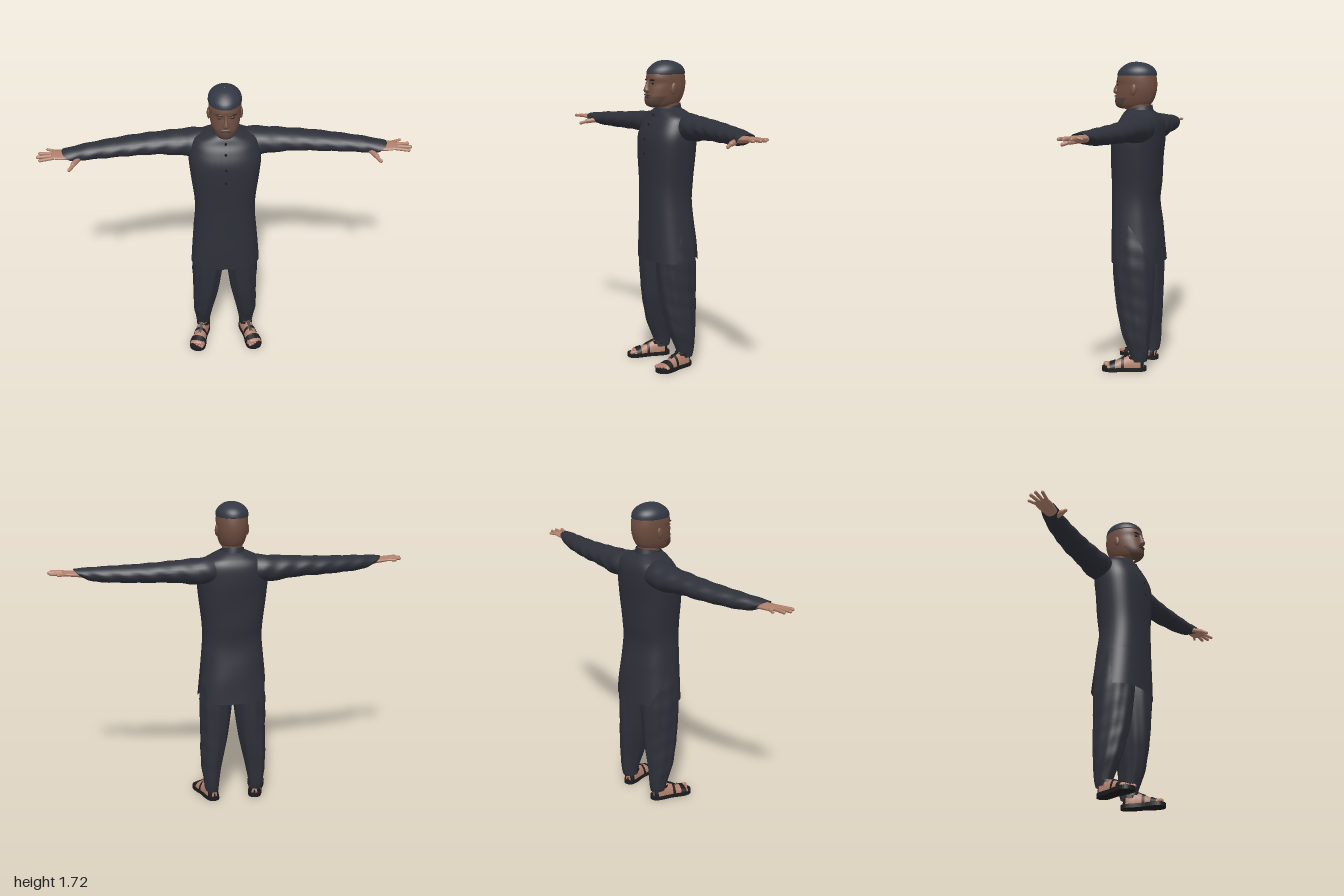
import * as THREE from 'three';

const paint = (name, color, side = THREE.FrontSide) => {
  const m = new THREE.MeshStandardMaterial({ color, side });
  m.name = name;
  return m;
};

// Catmull-Rom refinement of a table of section rows
function refine(rows, k = 5) {
  const out = [], at = i => rows[Math.min(Math.max(i, 0), rows.length - 1)];
  for (let i = 0; i < rows.length - 1; i++) {
    for (let s = 0; s < k; s++) {
      const t = s / k;
      out.push(at(i).map((b, c) => {
        const a = at(i - 1)[c], d = at(i + 1)[c], e = at(i + 2)[c];
        return b + 0.5 * t * (d - a + t * (2 * a - 5 * b + 4 * d - e + t * (3 * (b - d) + e - a)));
      }));
    }
  }
  out.push(rows[rows.length - 1]);
  return out;
}

// Skin over equal-length rings of points
function skin(rings, closed = true) {
  const n = rings[0].length, idx = [];
  for (let j = 0; j < rings.length - 1; j++) {
    for (let i = 0; i < (closed ? n : n - 1); i++) {
      const k = (i + 1) % n, a = j * n + i, b = j * n + k;
      idx.push(a, b, b + n, a, b + n, a + n);
    }
  }
  const g = new THREE.BufferGeometry();
  g.setAttribute('position', new THREE.Float32BufferAttribute(rings.flat(2), 3));
  g.setIndex(idx);
  g.computeVertexNormals();
  return g;
}

const power = (v, p) => Math.sign(v) * Math.abs(v) ** p;

// Upright form from rows [y, halfWidth, zFront, zBack, centreX]; span(y) limits it to an arc
function column(rows, { n = 40, p = 1, grow = 1, tilt = 0, span = null, fold = () => 0 } = {}) {
  return skin(rows.map(([y, w, zf, zb, cx = 0]) => {
    const [t0, t1] = span ? span(y) : [0, Math.PI * 2];
    return Array.from({ length: n }, (_, i) => {
      const t = t0 + (t1 - t0) * i / (span ? n - 1 : n);
      const f = grow + fold(t, y), z = (zf + zb) / 2 + f * (zf - zb) / 2 * power(Math.cos(t), p);
      return [cx + f * w * power(Math.sin(t), p), y - tilt * z, z];
    });
  }), !span);
}

// Sideways form from rows [x, y, z, halfHeight, halfDepth, slant]
function limb(rows, n = 28, wrinkle = 0) {
  return skin(rows.map(([x, y, z, h, d, slant = 0]) => Array.from({ length: n }, (_, i) => {
    const t = Math.PI * 2 * i / n, f = 1 + wrinkle * Math.sin(x * 55 + 2 * Math.sin(t * 2));
    return [x - slant * (1 - Math.cos(t)) / 2, y + f * h * Math.cos(t), z + f * d * Math.sin(t)];
  })));
}

// Foot-shaped form from rows [z, halfWidth, height]
function footForm(rows, grow = 1) {
  return skin(rows.map(([z, w, h]) => Array.from({ length: 24 }, (_, i) => {
    const t = Math.PI * 2 * i / 24;
    return [-Math.sin(t) * w * grow, 0.022 + Math.max(0, Math.cos(t)) * h * grow, z];
  })));
}

export function createModel() {
  const model = new THREE.Group();
  const cloth = paint('charcoalCloth', 0x2e3039, THREE.DoubleSide);
  const capCloth = paint('capCloth', 0x323743);
  const faceSkin = paint('faceSkin', 0x6e4d40);
  const beardHair = paint('beardHair', 0x58423a);
  const dark = paint('darkFeatures', 0x2a1f1c);
  const handSkin = paint('handSkin', 0xb07f6b);
  const leather = paint('sandalLeather', 0x1c1b1f, THREE.DoubleSide);
  const buttonMat = paint('buttons', 0x1d1e24);

  const add = (parent, name, geometry, material, pos = [0, 0, 0], scale = [1, 1, 1]) => {
    const m = new THREE.Mesh(geometry, material);
    m.name = name;
    m.position.set(...pos);
    m.scale.set(...scale);
    parent.add(m);
    return m;
  };
  // Rounded rod between two points
  const rod = (parent, name, a, b, r, material) => {
    const A = new THREE.Vector3(...a), B = new THREE.Vector3(...b), d = B.clone().sub(A);
    const m = add(parent, name, new THREE.CapsuleGeometry(r, d.length(), 5, 10), material);
    m.position.copy(A).add(B).multiplyScalar(0.5);
    m.quaternion.setFromUnitVectors(new THREE.Vector3(0, 1, 0), d.normalize());
  };
  const ball = new THREE.SphereGeometry(1, 20, 14);

  // Long tunic, with side slits below the hip
  const tunic = refine([
    [0.61, 0.2, 0.135, -0.155], [0.72, 0.188, 0.136, -0.147], [0.83, 0.177, 0.135, -0.135],
    [0.95, 0.167, 0.135, -0.122], [1.05, 0.17, 0.135, -0.13], [1.2, 0.188, 0.138, -0.138],
    [1.3, 0.196, 0.133, -0.145], [1.37, 0.185, 0.108, -0.145], [1.41, 0.165, 0.085, -0.132],
    [1.437, 0.115, 0.073, -0.108], [1.458, 0.066, 0.06, -0.08]]);
  const crease = (t, y) => 0.008 * Math.sin(y * 26 + 3 * Math.sin(t)) * Math.max(0, -Math.cos(t));
  const upper = tunic.filter(r => r[0] > 0.829), skirt = tunic.filter(r => r[0] < 0.831);
  const open = y => Math.max(0, (0.83 - y) / 0.22);
  add(model, 'tunicBody', column(upper, { p: 0.82, n: 48, fold: crease }), cloth);
  add(model, 'tunicFrontPanel', column(skirt, {
    p: 0.82, fold: crease, span: y => [-1.57 + 0.27 * open(y), 1.57 - 0.27 * open(y)] }), cloth);
  add(model, 'tunicBackPanel', column(skirt, {
    p: 0.82, fold: crease, span: y => [1.57 + 0.84 * open(y), Math.PI * 2 - 1.57 - 0.84 * open(y)] }), cloth);
  add(model, 'placket', column(tunic.filter(r => r[0] > 1.19 && r[0] < 1.45), {
    p: 0.82, n: 6, grow: 1.012, span: () => [-0.05, 0.05] }), cloth);
  add(model, 'collar', column([[1.43, 0.07, 0.064, -0.09], [1.45, 0.065, 0.063, -0.087], [1.468, 0.062, 0.062, -0.083]],
    { tilt: 0.2 }), cloth);
  for (const [y, z] of [[1.21, 0.139], [1.29, 0.137], [1.37, 0.11], [1.42, 0.081]]) {
    const b = add(model, 'button', new THREE.CylinderGeometry(0.007, 0.007, 0.008, 12), buttonMat, [0, y, z]);
    b.rotation.x = Math.PI / 2;
  }

  // Neck and head
  add(model, 'neck', column([[1.41, 0.056, 0.045, -0.075], [1.5, 0.056, 0.06, -0.075]]), faceSkin);
  const head = refine([
    [1.46, 0.012, 0.07, 0.03], [1.465, 0.04, 0.1, -0.04], [1.478, 0.056, 0.12, -0.065],
    [1.5, 0.068, 0.126, -0.085], [1.53, 0.077, 0.122, -0.099], [1.565, 0.083, 0.117, -0.108],
    [1.595, 0.085, 0.112, -0.11], [1.625, 0.086, 0.116, -0.108], [1.66, 0.083, 0.106, -0.102]]);
  add(model, 'head', column(head, { p: 0.92 }), faceSkin);
  add(model, 'beard', column(head.filter(r => r[0] < 1.524), {
    p: 0.92, grow: 1.02, span: y => [-1.0 - (y - 1.46) * 6, 1.0 + (y - 1.46) * 6] }), beardHair);
  add(model, 'nose', column(refine([
    [1.541, 0.004, 0.126, 0.1], [1.546, 0.015, 0.135, 0.1], [1.557, 0.018, 0.141, 0.1],
    [1.572, 0.012, 0.137, 0.1], [1.595, 0.009, 0.126, 0.1], [1.615, 0.01, 0.119, 0.1]]), { n: 20 }), faceSkin);
  add(model, 'moustache', ball, beardHair, [0, 1.532, 0.12], [0.033, 0.007, 0.01]);
  add(model, 'mouth', ball, dark, [0, 1.52, 0.124], [0.024, 0.003, 0.004]);
  for (const s of [-1, 1]) {
    add(model, 'eye', ball, dark, [s * 0.033, 1.594, 0.104], [0.013, 0.006, 0.005]);
    add(model, 'brow', ball, dark, [s * 0.034, 1.613, 0.107], [0.021, 0.005, 0.006]).rotation.y = s * 0.25;
    add(model, 'ear', ball, faceSkin, [s * 0.085, 1.567, 0], [0.01, 0.032, 0.018]).rotation.x = -0.15;
  }

  // Close-fitting cap
  add(model, 'cap', column(refine([
    [1.644, 0.086, 0.112, -0.106], [1.648, 0.089, 0.115, -0.109], [1.67, 0.086, 0.107, -0.104],
    [1.692, 0.072, 0.086, -0.086], [1.709, 0.049, 0.06, -0.055], [1.717, 0.026, 0.036, -0.024],
    [1.72, 0.001, 0.008, 0.006]])), capCloth);

  // Sections shared by both feet and their straps
  const foot = refine([
    [-0.108, 0.006, 0.02], [-0.1, 0.026, 0.05], [-0.07, 0.034, 0.07], [-0.03, 0.034, 0.068],
    [0.02, 0.037, 0.048], [0.06, 0.043, 0.032], [0.09, 0.044, 0.022], [0.1, 0.038, 0.014]], 6);
  const sole = new THREE.Shape();
  sole.moveTo(0, -0.122);
  sole.bezierCurveTo(0.045, -0.122, 0.04, -0.06, 0.037, -0.01);
  sole.bezierCurveTo(0.042, 0.04, 0.062, 0.09, 0.03, 0.12);
  sole.bezierCurveTo(0.01, 0.135, -0.03, 0.135, -0.045, 0.105);
  sole.bezierCurveTo(-0.055, 0.06, -0.035, 0.03, -0.037, -0.02);
  sole.bezierCurveTo(-0.04, -0.07, -0.045, -0.122, 0, -0.122);

  for (const s of [1, -1]) {
    const side = new THREE.Group();
    side.name = s > 0 ? 'leftLimbs' : 'rightLimbs';
    side.scale.x = s;
    model.add(side);

    // Sleeve, cut back underneath at the cuff
    add(side, 'sleeve', limb(refine([
      [0.06, 1.365, -0.045, 0.06, 0.06, 0], [0.12, 1.362, -0.052, 0.073, 0.08, 0], [0.2, 1.357, -0.055, 0.072, 0.084, 0],
      [0.35, 1.36, -0.049, 0.058, 0.075, 0], [0.5, 1.356, -0.037, 0.051, 0.071, 0], [0.7, 1.352, -0.003, 0.043, 0.058, 0],
      [0.8, 1.352, 0.02, 0.035, 0.052, 0.025], [0.865, 1.354, 0.036, 0.026, 0.047, 0.06]], 8), 28, 0.03), cloth);

    // Hand
    const hand = new THREE.Group();
    hand.name = 'hand';
    side.add(hand);
    add(hand, 'palm', limb(refine([
      [0.74, 1.348, 0.02, 0.02, 0.026], [0.8, 1.35, 0.032, 0.018, 0.034], [0.86, 1.354, 0.037, 0.015, 0.044],
      [0.91, 1.358, 0.038, 0.012, 0.043], [0.924, 1.358, 0.038, 0.003, 0.036]])), handSkin);
    [[[0.9, 0.07], [0.976, 0.092]], [[0.905, 0.049], [0.991, 0.06]], [[0.905, 0.027], [0.982, 0.025]],
      [[0.895, 0.006], [0.945, -0.013]]].forEach(([a, b], i) =>
      rod(hand, 'finger', [a[0], 1.358, a[1]], [b[0], 1.358, b[1]], i === 3 ? 0.0075 : 0.009, handSkin));
    rod(hand, 'thumbBase', [0.775, 1.34, 0.05], [0.805, 1.332, 0.1], 0.014, handSkin);
    rod(hand, 'thumb', [0.8, 1.332, 0.1], [0.824, 1.32, 0.133], 0.0095, handSkin);

    // Loose trouser leg with draped folds
    add(side, 'trouserLeg', column(refine([
      [0.055, 0.037, 0.002, -0.09, 0.128], [0.1, 0.042, 0.007, -0.1, 0.13], [0.2, 0.057, 0.048, -0.106, 0.128],
      [0.3, 0.069, 0.073, -0.115, 0.118], [0.4, 0.078, 0.092, -0.12, 0.108], [0.6, 0.091, 0.11, -0.126, 0.097],
      [0.75, 0.084, 0.108, -0.12, 0.086], [0.86, 0.07, 0.1, -0.1, 0.075]], 8), {
      n: 64, p: 0.95, fold: (t, y) => 0.022 * Math.cos(9 * t + 7 * y) + 0.018 * Math.sin(y * 60 + 2 * t) * Math.max(0, Math.sin(t)) }), cloth);

    // Sandalled foot, toes turned outwards
    const shoe = new THREE.Group();
    shoe.name = 'sandalledFoot';
    shoe.position.set(0.147, 0, 0.03);
    shoe.rotation.y = 0.27;
    side.add(shoe);
    const soleGeo = new THREE.ExtrudeGeometry(sole, { depth: 0.022, bevelEnabled: false, curveSegments: 10 });
    soleGeo.rotateX(Math.PI / 2);
    add(shoe, 'sole', soleGeo, leather, [0, 0.022, 0]);
    add(shoe, 'foot', footForm(foot), handSkin);
    add(shoe, 'ankle', new THREE.CylinderGeometry(0.03, 0.033, 0.08, 20), handSkin, [0, 0.09, -0.06]);
    for (let i = 0; i < 5; i++) {
      const x = -0.032 + i * 0.0165, tip = 0.112 - i * i * 0.0022;
      rod(shoe, 'toe', [x, 0.031, 0.075], [x, 0.029, tip], i ? 0.008 : 0.011, handSkin);
    }
    for (const [a, b] of [[0.052, 0.088], [-0.004, 0.024], [-0.106, -0.085]])
      add(shoe, 'strap', footForm(foot.filter(r => r[0] > a && r[0] < b), 1.1), leather);
    const band = add(shoe, 'ankleStrap', new THREE.CylinderGeometry(0.036, 0.038, 0.016, 24, 1, true), leather, [0, 0.078, -0.06]);
    band.scale.z = 1.15;
    add(shoe, 'instepStrap', new THREE.BoxGeometry(0.016, 0.007, 0.07), leather, [0, 0.074, 0.008]).rotation.x = 0.5;
  }
  return model;
}
